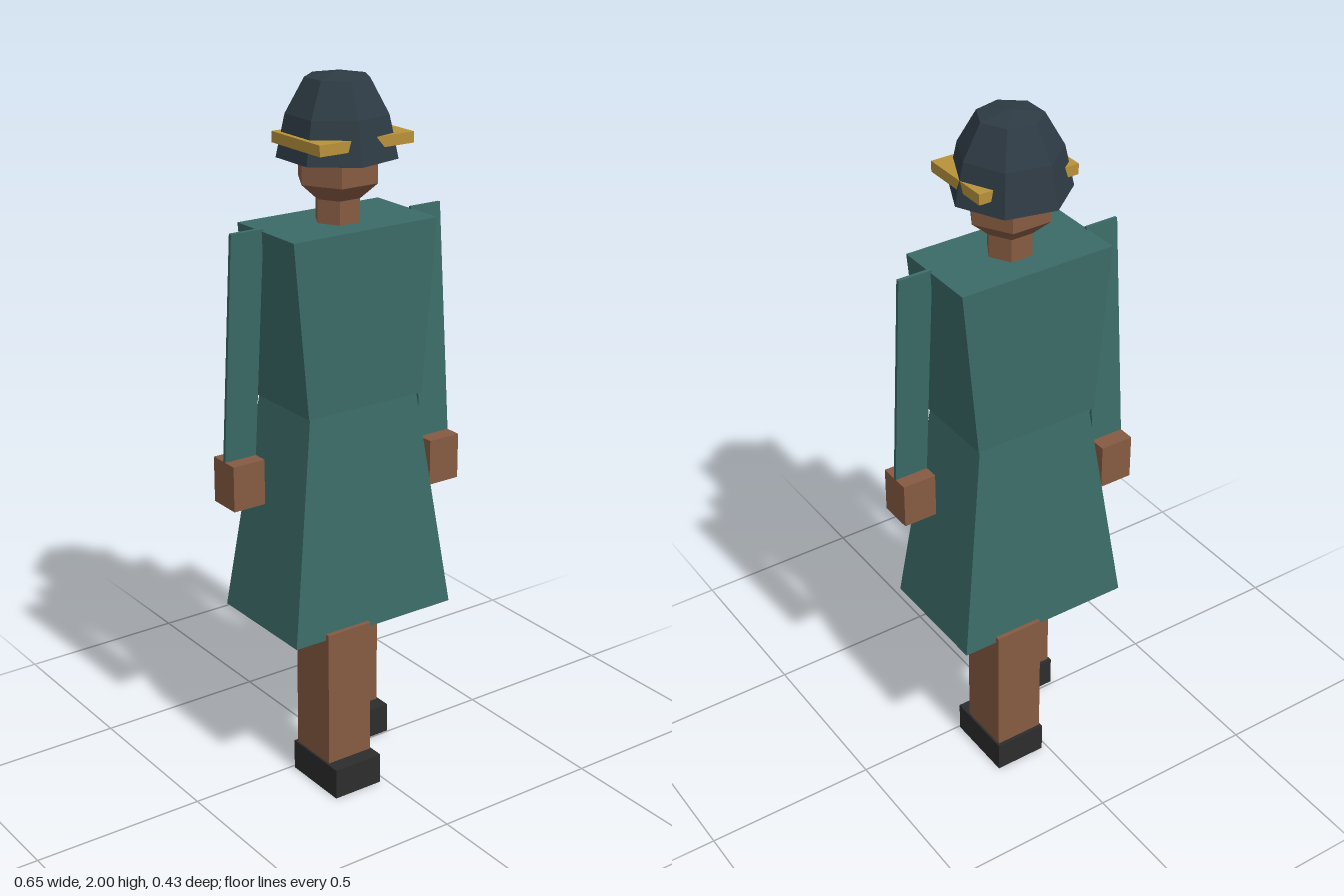
import * as THREE from 'three';

const mat = (name, color) => {
  const m = new THREE.MeshStandardMaterial({ color, flatShading: true });
  m.name = name;
  return m;
};

export function createModel() {
  const coat = mat('green coat', 0x3b6b67);
  const skin = mat('brown skin', 0x865b42);
  const helmetBlue = mat('dark slate', 0x2e3b44);
  const gold = mat('gold', 0xb8923a);
  const black = mat('shoe black', 0x2d2d2d);

  const model = new THREE.Group();
  model.name = 'figure';
  const CZ = -0.0175; // depth of the body's centre line

  const add = (name, geo, material, x = 0, y = 0, z = 0) => {
    const mesh = new THREE.Mesh(geo, material);
    mesh.name = name;
    mesh.position.set(x, y, z);
    model.add(mesh);
    return mesh;
  };

  // Box given by its minimum and maximum corners
  const block = (name, material, [x0, y0, z0], [x1, y1, z1]) =>
    add(name, new THREE.BoxGeometry(x1 - x0, y1 - y0, z1 - z0), material,
      (x0 + x1) / 2, (y0 + y1) / 2, (z0 + z1) / 2);

  // Box with different half sizes at the bottom and the top
  const taperedBox = (y0, y1, bottom, top) => {
    const geo = new THREE.BoxGeometry(2, y1 - y0, 2);
    const p = geo.attributes.position;
    for (let i = 0; i < p.count; i++) {
      const [hx, hz] = p.getY(i) > 0 ? top : bottom;
      p.setX(i, p.getX(i) * hx);
      p.setZ(i, p.getZ(i) * hz);
    }
    return geo.translate(0, (y0 + y1) / 2, 0);
  };

  // Faceted turned shape with a corner pointing to the left side
  const turned = (profile, sides) =>
    new THREE.LatheGeometry(profile.map(([r, y]) => new THREE.Vector2(r, y)), sides)
      .rotateY(Math.PI / 2);

  // Coat
  add('torso', taperedBox(1.115, 1.605, [0.188, 0.1325], [0.232, 0.1325]), coat, 0, 0, CZ);
  add('skirt', taperedBox(0.475, 1.115, [0.265, 0.1775], [0.178, 0.1225]), coat, 0, 0, CZ);

  // Neck, head and helmet
  add('neck', turned([[0, 1.59], [0.065, 1.59], [0.065, 1.69], [0, 1.69]], 6), skin, 0, 0, CZ);
  add('head', turned([[0, 1.67], [0.065, 1.67], [0.116, 1.715], [0.116, 1.84], [0, 1.88]], 6),
    skin, 0, 0, CZ);
  add('helmet', turned([[0, 1.78], [0.165, 1.78], [0.14, 1.895], [0.088, 1.988], [0, 2]], 7),
    helmetBlue, 0, 0, CZ);
  block('helmetBand', gold, [-0.15, 1.817, -0.105], [0.15, 1.847, 0.115]);

  // Thin swinging sleeves and the hands; the left arm swings forward
  for (const side of [1, -1]) {
    const label = side > 0 ? 'left' : 'right';
    const x = side * 0.277;
    const top = new THREE.Vector2(CZ + side * 0.02, 1.612);
    const end = new THREE.Vector2(CZ + side * 0.075, 0.955);
    const sleeve = add(label + 'Sleeve', new THREE.BoxGeometry(0.1, top.distanceTo(end), 0.01),
      coat, x, (top.y + end.y) / 2, (top.x + end.x) / 2);
    sleeve.rotation.x = Math.atan2(top.x - end.x, top.y - end.y);
    const hz = CZ + side * 0.0775;
    block(label + 'Hand', skin, [x - 0.05, 0.828, hz - 0.05], [x + 0.05, 0.96, hz + 0.05]);
  }

  // Striding legs and shoes
  block('rightLeg', skin, [-0.167, 0.08, 0.018], [-0.023, 0.493, 0.172]);
  block('rightShoe', black, [-0.173, 0, 0.008], [-0.019, 0.09, 0.216]);
  block('leftLeg', skin, [0.021, 0.08, -0.206], [0.165, 0.493, -0.05]);
  block('leftShoe', black, [0.017, 0, -0.216], [0.171, 0.09, -0.004]);

  return model;
}
